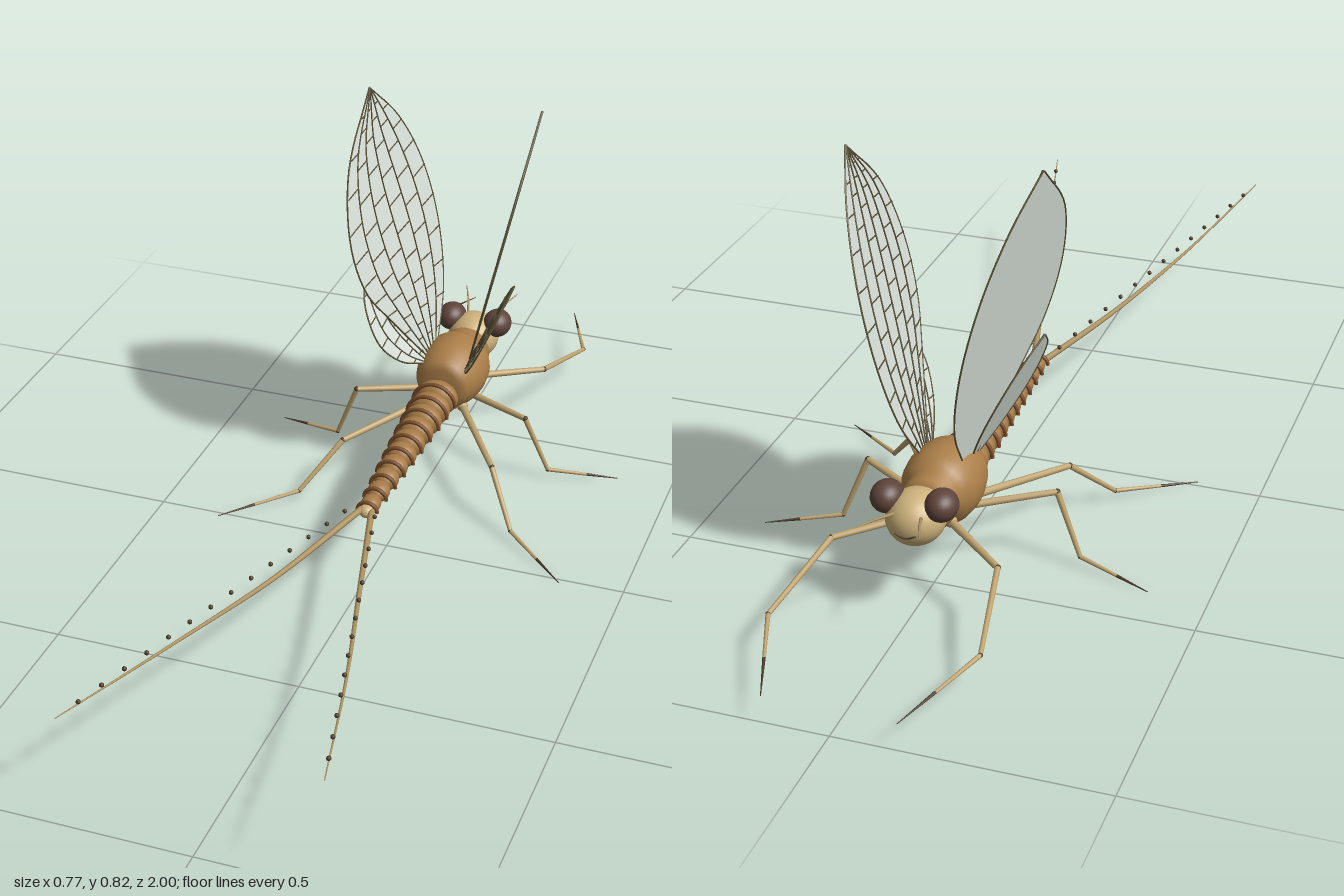
import * as THREE from 'three';
import { mergeGeometries } from 'three/addons/utils/BufferGeometryUtils.js';

const V = (x, y, z) => new THREE.Vector3(x, y, z);

export function createModel() {
  const model = new THREE.Group();
  model.name = 'mayfly';
  const mat = (name, color, side = THREE.FrontSide) => {
    const m = new THREE.MeshStandardMaterial({ color, side });
    m.name = name;
    return m;
  };
  const thoraxBrown = mat('thorax brown', 0xaa7e48);
  const abdomenBrown = mat('abdomen brown', 0xa67a46);
  const bandBrown = mat('band brown', 0x7a4c28);
  const headTan = mat('head tan', 0xcdb27c);
  const eyeBrown = mat('eye brown', 0x5e443a);
  const legTan = mat('leg tan', 0xc0a470);
  const darkTip = mat('dark tip', 0x4a3a28);
  const tailTan = mat('tail tan', 0xae9362);
  const wingGrey = mat('wing grey', 0xd9e2da, THREE.DoubleSide);
  const veinDark = mat('vein dark', 0x5c543a);

  const add = (name, geo, material, parent = model) => {
    const m = new THREE.Mesh(geo, material);
    m.name = name;
    parent.add(m);
    return m;
  };
  const ball = (name, material, pos, rx, ry = rx, rz = rx, parent = model, seg = 24) => {
    const m = add(name, new THREE.SphereGeometry(1, seg, Math.ceil(seg * 0.7)), material, parent);
    m.position.copy(pos);
    m.scale.set(rx, ry, rz);
    return m;
  };
  // Tapered rod between two points
  const rod = (name, a, b, ra, rb, material, parent) => {
    const d = b.clone().sub(a);
    const m = add(name, new THREE.CylinderGeometry(rb, ra, d.length(), 10), material, parent);
    m.position.copy(a).addScaledVector(d, 0.5);
    m.quaternion.setFromUnitVectors(V(0, 1, 0), d.normalize());
    return m;
  };
  // Tube along a curve, narrowing from radius ra to rb
  const taperTube = (curve, n, ra, rb, sides = 8) => {
    const g = new THREE.TubeGeometry(curve, n, 1, sides);
    const p = g.attributes.position, q = V();
    for (let i = 0; i < p.count; i++) {
      const t = Math.floor(i / (sides + 1)) / n;
      const c = curve.getPointAt(t);
      q.fromBufferAttribute(p, i).sub(c).multiplyScalar(ra + (rb - ra) * t).add(c);
      p.setXYZ(i, q.x, q.y, q.z);
    }
    return g;
  };

  // Thorax, lathed along z, with a slim neck ring towards the head
  const profile = [[0, -0.352], [0.04, -0.353], [0.056, -0.362], [0.067, -0.385], [0.074, -0.415],
    [0.076, -0.44], [0.073, -0.47], [0.065, -0.49], [0.054, -0.498], [0.053, -0.53], [0.042, -0.548], [0, -0.55]];
  const thorax = add('thorax', new THREE.LatheGeometry(
    profile.map(([r, z]) => new THREE.Vector2(r, -z)), 32).rotateX(-Math.PI / 2), thoraxBrown);
  thorax.position.y = 0.184;

  // Abdomen: shrinking beads with raised dark hoops over the back
  const abdomen = new THREE.Group();
  abdomen.name = 'abdomen';
  model.add(abdomen);
  const segments = 10;
  for (let i = 0; i < segments; i++) {
    const t = i / (segments - 1);
    const z = -0.325 + 0.42 * t;
    const y = 0.174 - 0.012 * t;
    const rx = 0.046 - 0.026 * t, ry = 0.039 - 0.021 * t;
    ball('abdomenSegment', abdomenBrown, V(0, y, z), rx, ry, 0.031 - 0.004 * t, abdomen);
    const band = add('abdomenBand',
      new THREE.TorusGeometry(rx * 1.02, 0.0042, 8, 24, Math.PI), bandBrown, abdomen);
    band.position.set(0, y - 0.005, z + 0.021);
  }
  ball('abdomenTip', headTan, V(0, 0.16, 0.118), 0.016, 0.014, 0.018, abdomen);

  // Head with a thin mouth line
  ball('head', headTan, V(0, 0.192, -0.583), 0.056, 0.052, 0.06);
  add('mouth', new THREE.TubeGeometry(new THREE.CatmullRomCurve3(
    [V(-0.02, 0.184, -0.639), V(0, 0.178, -0.6415), V(0.02, 0.184, -0.639)]), 10, 0.0016, 6), darkTip);

  // Wing surface: u runs from leading to trailing edge, v from root to tip
  const makeWing = (name, s, lead, trail, xAt, columns, rows) => {
    const wing = new THREE.Group();
    wing.name = name;
    model.add(wing);
    const edge = (pts) => new THREE.CatmullRomCurve3(pts.map(([z, y]) => V(0, y, z)));
    const a = edge(lead), b = edge(trail);
    const at = (u, v, lift = 0) => {
      const p = a.getPoint(v).lerp(b.getPoint(v), u);
      p.x = s * (xAt(p.y, p.z) - lift);
      return p;
    };
    const g = new THREE.PlaneGeometry(1, 1, 4, 32);
    const pos = g.attributes.position, uv = g.attributes.uv;
    for (let i = 0; i < pos.count; i++) {
      const p = at(uv.getX(i), uv.getY(i));
      pos.setXYZ(i, p.x, p.y, p.z);
    }
    // Mirroring flips the winding, so restore it on one side
    if (s < 0) g.index.array.reverse();
    g.computeVertexNormals();
    add('membrane', g, wingGrey, wing);

    // Veins lie on the inner face; the rim wraps the edge
    const tubes = [];
    for (let c = 0; c <= columns; c++) {
      const rim = c === 0 || c === columns;
      const pts = [];
      for (let k = 0; k <= 16; k++) pts.push(at(c / columns, k / 16, rim ? 0 : 0.0018));
      tubes.push(new THREE.TubeGeometry(new THREE.CatmullRomCurve3(pts), 32, rim ? 0.0018 : 0.0015, 5));
    }
    for (let c = 0; c < columns; c++) {
      for (let r = 1; r < rows; r++) {
        const v = (r + (c % 2 ? 0.25 : -0.25)) / rows;
        tubes.push(new THREE.TubeGeometry(new THREE.LineCurve3(
          at(c / columns, v, 0.0018), at((c + 1) / columns, v, 0.0018)), 1, 0.0014, 5));
      }
    }
    add('veins', mergeGeometries(tubes), veinDark, wing);
  };

  for (const s of [1, -1]) {
    const side = s > 0 ? 'left' : 'right';
    const P = ([x, y, z]) => V(s * x, y, z);

    makeWing(side + 'Forewing', s,
      [[-0.44, 0.225], [-0.525, 0.34], [-0.563, 0.48], [-0.552, 0.62], [-0.5, 0.735], [-0.42, 0.822]],
      [[-0.40, 0.225], [-0.295, 0.36], [-0.233, 0.45], [-0.22, 0.56], [-0.275, 0.695], [-0.42, 0.822]],
      (y, z) => 0.052 + 0.237 * (y - 0.25) + 0.16 * (z + 0.4), 6, 10);
    makeWing(side + 'Hindwing', s,
      [[-0.405, 0.215], [-0.433, 0.29], [-0.425, 0.36], [-0.39, 0.425], [-0.335, 0.464]],
      [[-0.38, 0.22], [-0.295, 0.265], [-0.25, 0.325], [-0.265, 0.405], [-0.335, 0.464]],
      (y, z) => 0.047 + 0.46 * (y - 0.23) + 0.1 * (z + 0.4), 5, 6);

    // Eyes and antennae
    ball(side + 'Eye', eyeBrown, P([0.052, 0.228, -0.59]), 0.031, 0.03, 0.036);
    add(side + 'Antenna', taperTube(new THREE.CatmullRomCurve3(
      [[0.026, 0.215, -0.625], [0.04, 0.227, -0.67], [0.06, 0.235, -0.722]].map(P)), 10, 0.0035, 0.001), tailTan);

    // Legs: hip, knee, ankle, foot
    const legs = {
      Foreleg: [[0.035, 0.14, -0.5], [0.16, 0.125, -0.6], [0.198, 0.077, -0.8], [0.123, 0.055, -1]],
      MiddleLeg: [[0.04, 0.135, -0.43], [0.19, 0.146, -0.347], [0.24, 0.022, -0.36], [0.385, 0.002, -0.406]],
      HindLeg: [[0.04, 0.13, -0.38], [0.165, 0.112, -0.19], [0.233, 0.022, -0.105], [0.37, 0.002, 0.013]],
    };
    for (const [name, pts] of Object.entries(legs)) {
      const leg = new THREE.Group();
      leg.name = side + name;
      model.add(leg);
      const [hip, knee, ankle, foot] = pts.map(P);
      const mid = ankle.clone().lerp(foot, 0.55);
      ball('hip', legTan, hip, 0.012, 0.012, 0.012, leg, 12);
      rod('femur', hip, knee, 0.008, 0.006, legTan, leg);
      ball('knee', darkTip, knee, 0.0062, 0.0062, 0.0062, leg, 10);
      rod('tibia', knee, ankle, 0.006, 0.0045, legTan, leg);
      ball('ankle', darkTip, ankle, 0.0048, 0.0048, 0.0048, leg, 10);
      rod('tarsus', ankle, mid, 0.0045, 0.003, legTan, leg);
      rod('claw', mid, foot, 0.003, 0.0008, darkTip, leg);
    }

    // Long tail filament with a row of fine beads above it
    add(side + 'Tail', taperTube(new THREE.CatmullRomCurve3(
      [[0.008, 0.163, 0.11], [0.085, 0.164, 0.4], [0.163, 0.19, 0.68], [0.243, 0.234, 1]].map(P)),
      40, 0.0068, 0.001), tailTan);
    for (let i = 1; i <= 14; i++) {
      const p = P([0.016, 0.174, 0.1]).lerp(P([0.243, 0.234, 1]), i / 15);
      ball(side + 'TailBead', darkTip, p, 0.0046, undefined, undefined, model, 8);
    }
  }
  return model;
}
